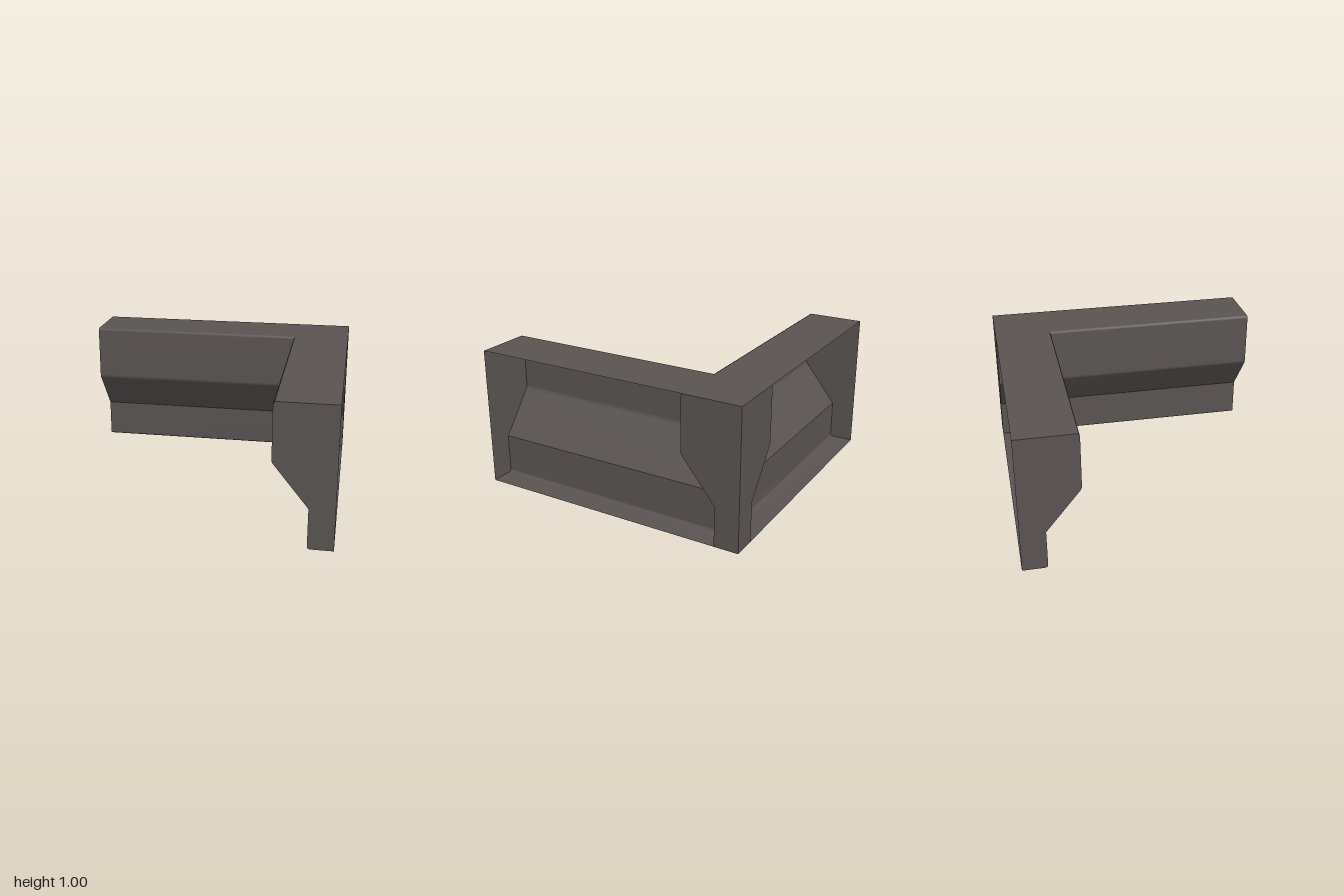
import * as THREE from 'three';

// Cross-section of one arm as [z, y]: top, face and slope, then the lower face and base.
const upperRun = [[-1, 1], [-0.6, 1], [-0.587, 0.994], [-0.58, 0.98], [-0.58, 0.61],
  [-0.583, 0.595], [-0.592, 0.58], [-0.825, 0.288]];
const lowerRun = [[-0.825, 0.288], [-0.825, 0.018], [-0.83, 0.006], [-0.842, 0], [-1, 0]];

// Open strip swept along x from -1 to 1
function sweep(run) {
  const positions = [], index = [];
  run.forEach(([z, y], i) => {
    positions.push(-1, y, z, 1, y, z);
    const a = i * 2;
    if (i < run.length - 1) index.push(a, a + 2, a + 1, a + 1, a + 2, a + 3);
  });
  const geometry = new THREE.BufferGeometry();
  geometry.setAttribute('position', new THREE.Float32BufferAttribute(positions, 3));
  geometry.setIndex(index);
  geometry.computeVertexNormals();
  return geometry;
}

// Flat end plate at x = side, facing outwards
function endPlate(side) {
  const points = [...upperRun, ...lowerRun.slice(1)].map(([z, y]) => new THREE.Vector2(-side * z, y));
  const geometry = new THREE.ShapeGeometry(new THREE.Shape(points));
  geometry.rotateY(side * Math.PI / 2);
  geometry.translate(side, 0, 0);
  return geometry;
}

export function createModel() {
  const stone = new THREE.MeshStandardMaterial({ color: 0x595452, side: THREE.DoubleSide });
  stone.name = 'dark stone';

  // Hollow moulded arm, open along its outer side
  function arm(name) {
    const group = new THREE.Group();
    group.name = name;
    const add = (part, geometry) => {
      const mesh = new THREE.Mesh(geometry, stone);
      mesh.name = part;
      group.add(mesh);
    };
    add('upperMoulding', sweep(upperRun));
    add('lowerMoulding', sweep(lowerRun));
    add('endPlateA', endPlate(-1));
    add('endPlateB', endPlate(1));
    return group;
  }

  const model = new THREE.Group();
  model.name = 'cornerMoulding';
  const backArm = arm('backArm');
  const sideArm = arm('sideArm');
  sideArm.rotation.y = -Math.PI / 2;
  model.add(backArm, sideArm);
  return model;
}
